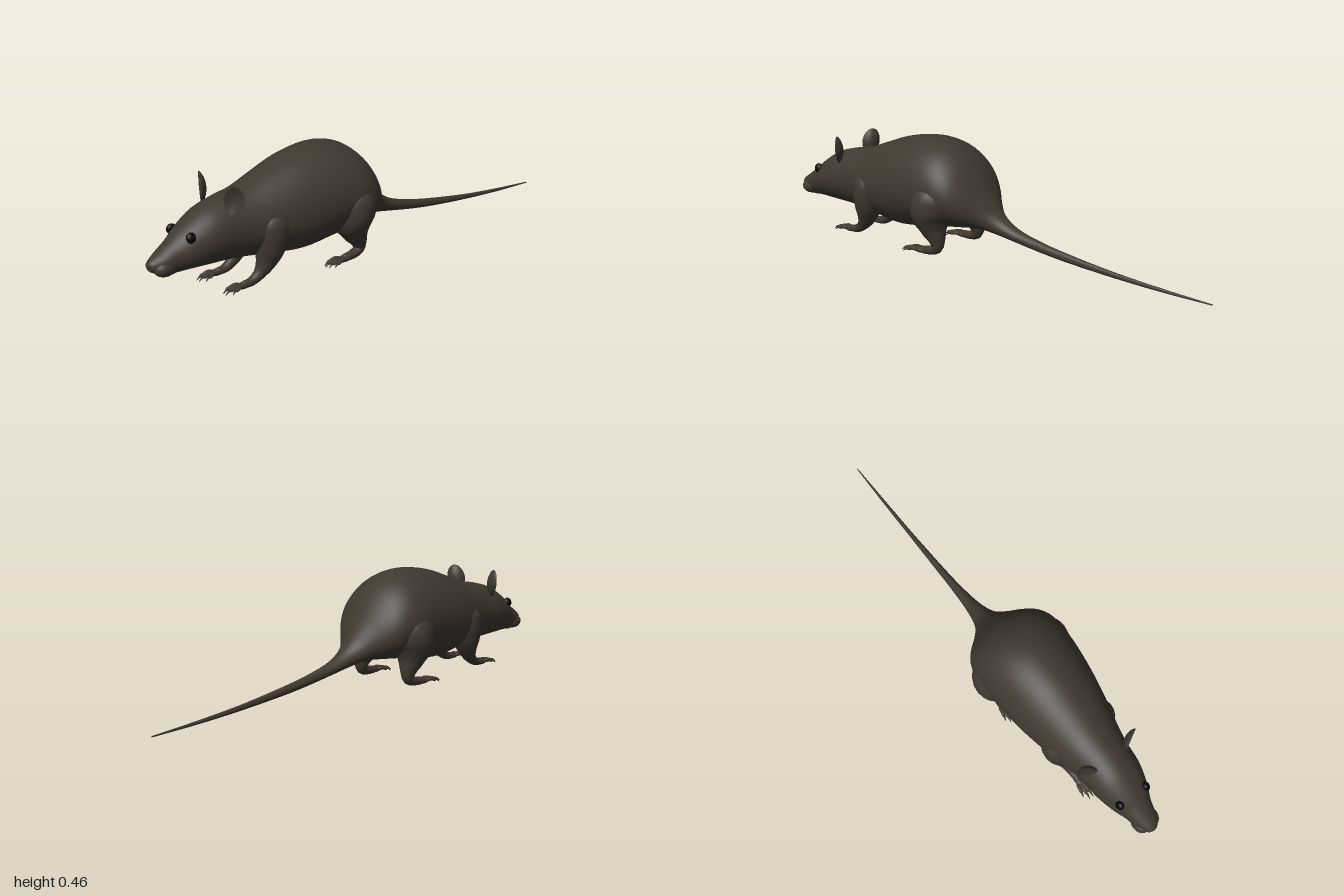
import * as THREE from 'three';
import { mergeVertices } from 'three/addons/utils/BufferGeometryUtils.js';

const fur = new THREE.MeshStandardMaterial({ color: 0x41382f });
fur.name = 'dark brown fur';
const black = new THREE.MeshStandardMaterial({ color: 0x060606 });
black.name = 'eye black';

function mesh(name, geometry, material = fur) {
  const m = new THREE.Mesh(geometry, material);
  m.name = name;
  return m;
}

// Weld seams and smooth the normals.
function smooth(geometry) {
  geometry.deleteAttribute('uv');
  geometry.deleteAttribute('normal');
  const g = mergeVertices(geometry, 1e-5);
  g.computeVertexNormals();
  return g;
}

function ellipsoid(name, pos, radii, material = fur) {
  const m = mesh(name, new THREE.SphereGeometry(1, 24, 16), material);
  m.position.set(...pos);
  m.scale.set(...radii);
  return m;
}

// Round-ended tube of changing radius; points are [x, y, z, radius].
function limb(name, points, rings = 36, sides = 20) {
  const path = new THREE.CatmullRomCurve3(points.map(p => new THREE.Vector3(p[0], p[1], p[2])), false, 'catmullrom');
  const radii = new THREE.CatmullRomCurve3(points.map(p => new THREE.Vector3(p[3], 0, 0)), false, 'catmullrom');
  const g = new THREE.TubeGeometry(path, rings, 1, sides, false);
  const pos = g.attributes.position, v = new THREE.Vector3(), length = path.getLength();
  for (let i = 0; i <= rings; i++) {
    const u = i / rings, c = path.getPointAt(u);
    let r = radii.getPoint(path.getUtoTmapping(u)).x;
    const end = Math.min(1, Math.min(u, 1 - u) * length / r);
    r *= Math.sqrt(Math.max(1e-6, 1 - (1 - end) ** 2));
    for (let j = 0; j <= sides; j++) {
      const k = i * (sides + 1) + j;
      v.fromBufferAttribute(pos, k).sub(c).multiplyScalar(r).add(c);
      pos.setXYZ(k, v.x, v.y, v.z);
    }
  }
  return mesh(name, smooth(g));
}

// Body and tail in one skin: sections are [z, bottom, top, half width].
function bodyGeometry() {
  const sections = [
    [1.0, 0.155, 0.168, 0.006], [0.99, 0.138, 0.18, 0.024], [0.95, 0.12, 0.206, 0.046],
    [0.9, 0.114, 0.24, 0.06], [0.85, 0.114, 0.278, 0.082], [0.77, 0.111, 0.325, 0.104],
    [0.68, 0.106, 0.35, 0.112], [0.6, 0.098, 0.364, 0.13], [0.5, 0.085, 0.4, 0.155],
    [0.38, 0.07, 0.44, 0.178], [0.25, 0.085, 0.458, 0.192], [0.15, 0.1, 0.442, 0.194],
    [0.08, 0.108, 0.398, 0.178], [0.03, 0.113, 0.338, 0.142], [-0.02, 0.11, 0.258, 0.088],
    [-0.07, 0.1, 0.188, 0.05], [-0.15, 0.084, 0.136, 0.03], [-0.27, 0.062, 0.102, 0.019],
    [-0.4, 0.044, 0.077, 0.014], [-0.6, 0.025, 0.047, 0.009], [-0.8, 0.012, 0.026, 0.006],
    [-1.0, 0.005, 0.01, 0.002]];
  const heights = new THREE.CatmullRomCurve3(sections.map(s => new THREE.Vector3(s[1], s[2], s[0])), false, 'catmullrom');
  const widths = new THREE.CatmullRomCurve3(sections.map(s => new THREE.Vector3(s[3], 0, 0)), false, 'catmullrom');
  const rings = (sections.length - 1) * 4, sides = 48, pos = [], index = [];
  for (let i = 0; i <= rings; i++) {
    const h = heights.getPoint(i / rings), w = widths.getPoint(i / rings).x;
    const egg = 0.07 * THREE.MathUtils.smoothstep(0.7 - h.z, 0, 0.2);
    for (let j = 0; j < sides; j++) {
      const a = j / sides * Math.PI * 2, s = Math.sin(a);
      pos.push(w * Math.cos(a) * (1 - egg * s), (h.x + h.y) / 2 + s * (h.y - h.x) / 2, h.z);
      if (i === rings) continue;
      const p = i * sides + j, q = i * sides + (j + 1) % sides;
      index.push(p, p + sides, q, p + sides, q + sides, q);
    }
  }
  // Close the nose and tail tips.
  const last = rings * sides;
  for (let j = 1; j < sides - 1; j++) index.push(0, j, j + 1, last, last + j + 1, last + j);
  const g = new THREE.BufferGeometry();
  g.setAttribute('position', new THREE.Float32BufferAttribute(pos, 3));
  g.setIndex(index);
  g.computeVertexNormals();
  return g;
}

// Cupped ear: the front half of a sphere is pressed in, leaving a rounded rim.
function ear(side) {
  const g = new THREE.SphereGeometry(1, 40, 32);
  g.rotateX(Math.PI / 2);
  const pos = g.attributes.position;
  for (let i = 0; i < pos.count; i++) {
    const x = pos.getX(i), y = pos.getY(i), z = pos.getZ(i), r = Math.hypot(x, y);
    const rim = 0.3 * Math.sqrt(Math.max(0, 1 - r ** 4));
    const cup = -0.9 * (1 - r * r);
    const narrow = y < 0 ? 1 + 0.25 * y : 1;
    pos.setXYZ(i, x * 0.039 * narrow, y * 0.06, (cup + (z > 0 ? rim : -rim)) * 0.019);
  }
  const m = mesh('ear', smooth(g));
  m.position.set(side * 0.102, 0.354, 0.7);
  m.rotation.set(-0.12, side * 0.5, side * -0.28, 'ZYX');
  return m;
}

// Palm with clawed toes fanning forwards.
function foot(name, side, x, z, length, spread, count) {
  const group = new THREE.Group();
  group.name = name;
  group.add(ellipsoid('palm', [side * x, 0.017, z - 0.01], [spread * 0.75, 0.013, 0.035]));
  for (let i = 0; i < count; i++) {
    const f = i / (count - 1) * 2 - 1, reach = length * (1 - 0.28 * f * f);
    const at = (k, y, r) => [side * (x + f * spread * (0.55 + 0.6 * k)), y, z + reach * k, r];
    group.add(limb('toe', [at(0, 0.018, 0.008), at(0.35, 0.021, 0.0075), at(0.72, 0.014, 0.0065)], 12, 10));
    group.add(limb('claw', [at(0.64, 0.016, 0.005), at(0.82, 0.015, 0.0035), at(1, 0.005, 0.001)], 10, 8));
  }
  return group;
}

export function createModel() {
  const model = new THREE.Group();
  model.name = 'rodent';
  model.add(mesh('bodyAndTail', bodyGeometry()));

  // Muzzle
  model.add(ellipsoid('nose', [0, 0.159, 0.983], [0.02, 0.014, 0.017]));
  model.add(ellipsoid('lowerJaw', [0, 0.126, 0.92], [0.034, 0.014, 0.04]));

  for (const side of [1, -1]) {
    model.add(ellipsoid('muzzlePad', [side * 0.023, 0.147, 0.945], [0.032, 0.03, 0.042]));
    model.add(ear(side));

    const eye = ellipsoid('eye', [side * 0.062, 0.247, 0.857], [0.014, 0.02, 0.019], black);
    eye.rotation.z = side * 0.25;
    model.add(eye);

    // Front leg
    model.add(limb('frontLeg', [
      [side * 0.075, 0.29, 0.53, 0.07], [side * 0.088, 0.21, 0.53, 0.074], [side * 0.092, 0.14, 0.54, 0.06],
      [side * 0.088, 0.085, 0.556, 0.04], [side * 0.084, 0.045, 0.583, 0.024],
      [side * 0.082, 0.022, 0.62, 0.017], [side * 0.082, 0.018, 0.67, 0.013]]));
    model.add(foot('frontFoot', side, 0.082, 0.665, 0.08, 0.022, 4));

    // Hind leg
    model.add(limb('hindLeg', [
      [side * 0.11, 0.31, 0.16, 0.08], [side * 0.122, 0.23, 0.165, 0.092], [side * 0.126, 0.165, 0.17, 0.085],
      [side * 0.128, 0.11, 0.158, 0.055], [side * 0.13, 0.068, 0.142, 0.034],
      [side * 0.131, 0.034, 0.142, 0.022], [side * 0.134, 0.021, 0.18, 0.018], [side * 0.137, 0.018, 0.235, 0.014]]));
    model.add(foot('hindFoot', side, 0.137, 0.23, 0.085, 0.024, 5));
  }
  return model;
}
